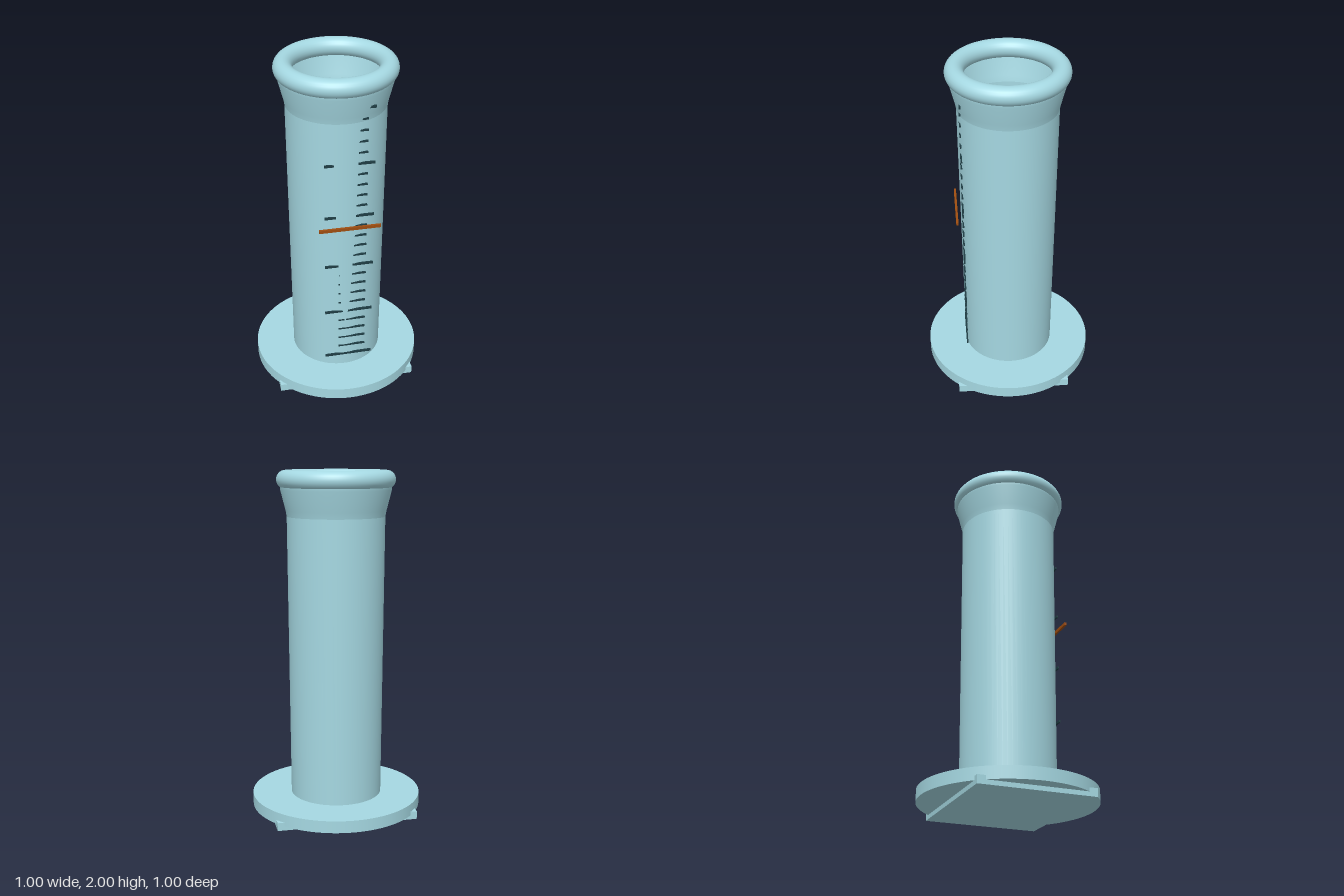
import * as THREE from 'three';

export function createModel() {
  const model = new THREE.Group();
  const paint = (name, color, side = THREE.FrontSide) => {
    const m = new THREE.MeshStandardMaterial({ color, side });
    m.name = name;
    return m;
  };
  const glass = paint('glass', 0xa5d8e2, THREE.DoubleSide);
  const liquidBlue = paint('liquidBlue', 0x107ac4);
  const ink = paint('ink', 0x1f3d44);
  const brown = paint('brown', 0xa04e10);

  const add = (name, geometry, material, x = 0, y = 0, z = 0, parent = model) => {
    const mesh = new THREE.Mesh(geometry, material);
    mesh.name = name;
    mesh.position.set(x, y, z);
    parent.add(mesh);
    return mesh;
  };
  const lathe = (points) =>
    new THREE.LatheGeometry(points.map(([r, y]) => new THREE.Vector2(r, y)), 64);

  // Foot: a round disc over a rectangular plate whose corners stick out
  add('footPlate', new THREE.BoxGeometry(0.82, 0.047, 0.668), glass, 0, 0.0235, 0);
  add('footDisc', new THREE.CylinderGeometry(0.5, 0.5, 0.07, 96), glass, 0, 0.06, 0);

  // Thin, slightly tapering tube with a flared mouth
  add('tube', lathe([[0.2685, 0.09], [0.2815, 1.74]]), glass);
  add('flare', lathe([[0.2815, 1.74], [0.288, 1.775], [0.317, 1.89], [0.317, 1.92]]), glass);
  const rim = add('rim', new THREE.TorusGeometry(0.286, 0.053, 24, 96), glass, 0, 1.947, 0);
  rim.rotation.x = Math.PI / 2;

  // Liquid with a gently domed surface, level with the marker
  add('liquid', lathe([[0, 0.1], [0.255, 0.1], [0.255, 1.08]]), liquidBlue);
  add('liquidSurface', lathe([[0.255, 1.08], [0.19, 1.09], [0.1, 1.097], [0, 1.1]]), liquidBlue);

  // Graduation: straight flat ticks, every fifth one long
  const scale = new THREE.Group();
  scale.name = 'scale';
  model.add(scale);
  for (let i = 0; i <= 25; i++) {
    const major = i % 5 === 0;
    const width = major ? 0.28 : 0.16;
    const height = major ? 0.014 : 0.01;
    add(major ? 'longTick' : 'shortTick', new THREE.BoxGeometry(width, height, 0.009), ink,
      major ? 0.02 : 0.04, 0.174 + i * 0.0659, 0.2665, scale);
  }

  // Level marker bar in front of the tube
  add('levelMarker', new THREE.BoxGeometry(0.35, 0.018, 0.013), brown, 0.017, 1.104, 0.302);

  return model;
}
